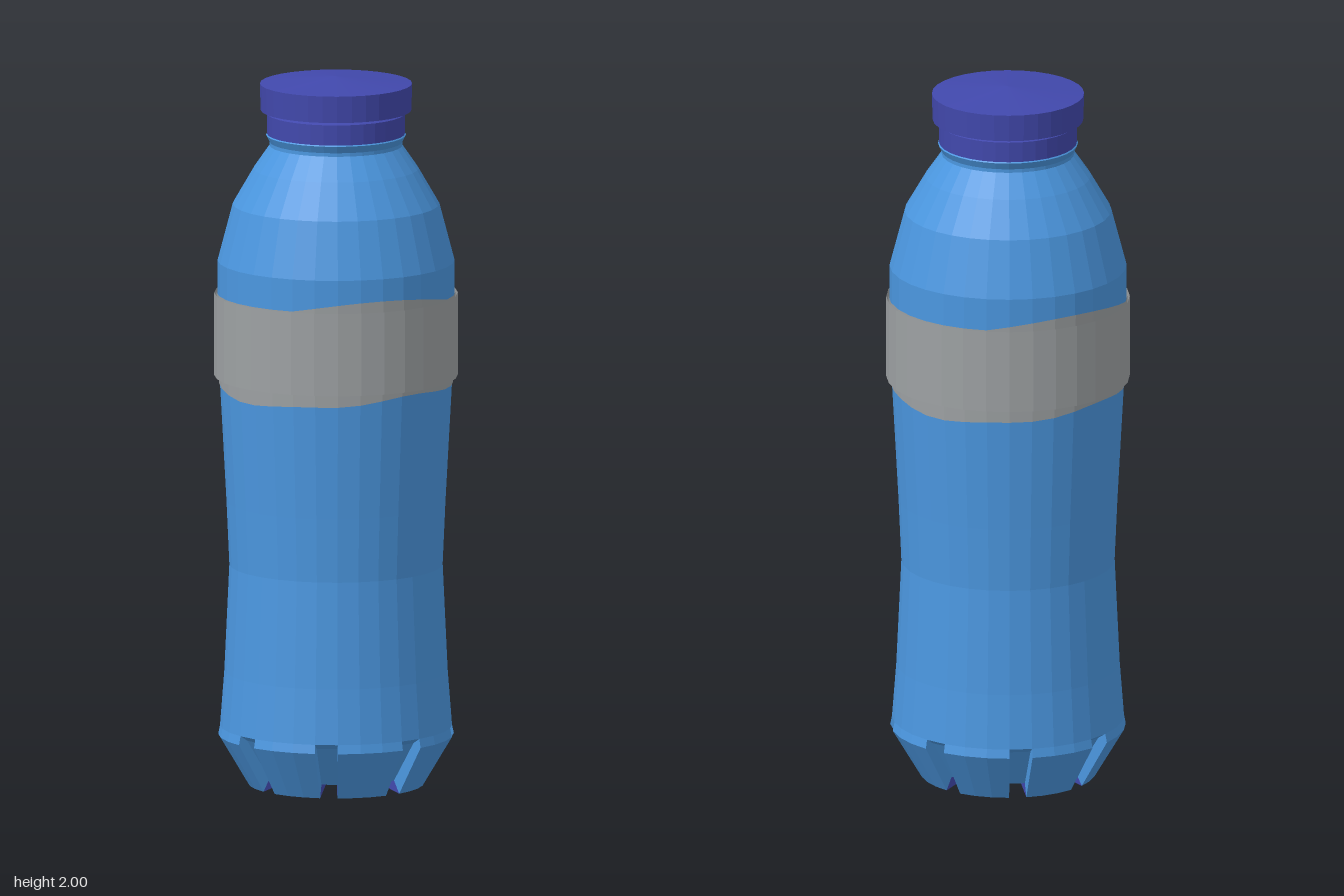
import * as THREE from 'three';

const SIDES = 32;
const STEP = (Math.PI * 2) / SIDES;

const flat = (name, color) => {
  const m = new THREE.MeshStandardMaterial({ color, flatShading: true, side: THREE.DoubleSide });
  m.name = name;
  return m;
};

// Point on a profile [radius, height] turned to angle a (0 = front)
const at = ([r, y], a) => [r * Math.sin(a), y, r * Math.cos(a)];

// Four-cornered faces, listed counter-clockwise from outside
function quads(list) {
  const pos = list.flatMap(([a, b, c, d]) => [a, b, c, a, c, d].flat());
  const g = new THREE.BufferGeometry();
  g.setAttribute('position', new THREE.Float32BufferAttribute(pos, 3));
  g.computeVertexNormals();
  return g;
}

const lathe = (profile) =>
  new THREE.LatheGeometry(profile.map(([r, y]) => new THREE.Vector2(r, y)), SIDES);

export function createModel() {
  const blue = flat('bottle blue', 0x4b97e0);
  const indigo = flat('cap indigo', 0x4148ac);
  const grey = flat('label grey', 0x9da1a3);

  const group = new THREE.Group();
  const add = (name, geometry, material) => {
    const mesh = new THREE.Mesh(geometry, material);
    mesh.name = name;
    group.add(mesh);
  };

  // Waisted body, shoulder and neck
  const body = [
    [0.323, 0.165], [0.311, 0.32], [0.297, 0.62], [0.305, 0.8], [0.324, 1.15],
    [0.33, 1.38], [0.33, 1.48], [0.288, 1.64], [0.23, 1.74], [0.185, 1.805],
    [0.185, 1.815], [0.195, 1.835], [0.185, 1.845],
  ];
  add('body', lathe(body), blue);

  // Base: every fourth side is a recessed groove running under the bottle
  const foot = [[0.323, 0.165], [0.328, 0.14], [0.245, 0], [0.13, 0.03], [0, 0.03]];
  const groove = [[0.323, 0.165], [0.3, 0.15], [0.225, 0.035], [0.13, 0.03], [0, 0.03]];
  const baseSides = [];
  const underside = [];
  for (let i = 0; i < SIDES; i++) {
    const a = i * STEP;
    const b = a + STEP;
    const isGroove = i % 4 === 1;
    const p = isGroove ? groove : foot;
    for (let k = 0; k < 4; k++) {
      const target = k < 2 ? baseSides : underside;
      target.push([at(p[k + 1], a), at(p[k + 1], b), at(p[k], b), at(p[k], a)]);
      if (!isGroove || k === 3) continue;
      // Groove walls facing each other
      target.push([at(foot[k], a), at(foot[k + 1], a), at(groove[k + 1], a), at(groove[k], a)]);
      target.push([at(groove[k], b), at(groove[k + 1], b), at(foot[k + 1], b), at(foot[k], b)]);
    }
  }
  add('baseSides', quads(baseSides), blue);
  add('underside', quads(underside), indigo);

  // Uneven grey paint on the body behind the label
  const top = (a) => 1.39 + 0.028 * Math.max(0, Math.cos(2 * a));
  const bottom = (a) => 1.127 - 0.014 * Math.cos(2 * a - 4.2) + 0.004 * Math.sin(6 * a);
  const paint = [];
  for (let i = 0; i < SIDES; i++) {
    const a = i * STEP;
    const b = a + STEP;
    paint.push([
      at([0.326, bottom(a)], a), at([0.326, bottom(b)], b),
      at([0.333, top(b)], b), at([0.333, top(a)], a),
    ]);
  }
  add('labelPaint', quads(paint), grey);

  // Open label band
  add('labelBand', lathe([[0.339, 1.155], [0.339, 1.388]]), grey);

  // Cap: tamper ring, gap and lid with a slightly domed top
  add('capRing', lathe([[0.18, 1.838], [0.192, 1.838], [0.192, 1.895], [0.18, 1.9]]), indigo);
  add('cap', lathe([[0.18, 1.9], [0.21, 1.905], [0.212, 1.98], [0, 2]]), indigo);

  return group;
}
